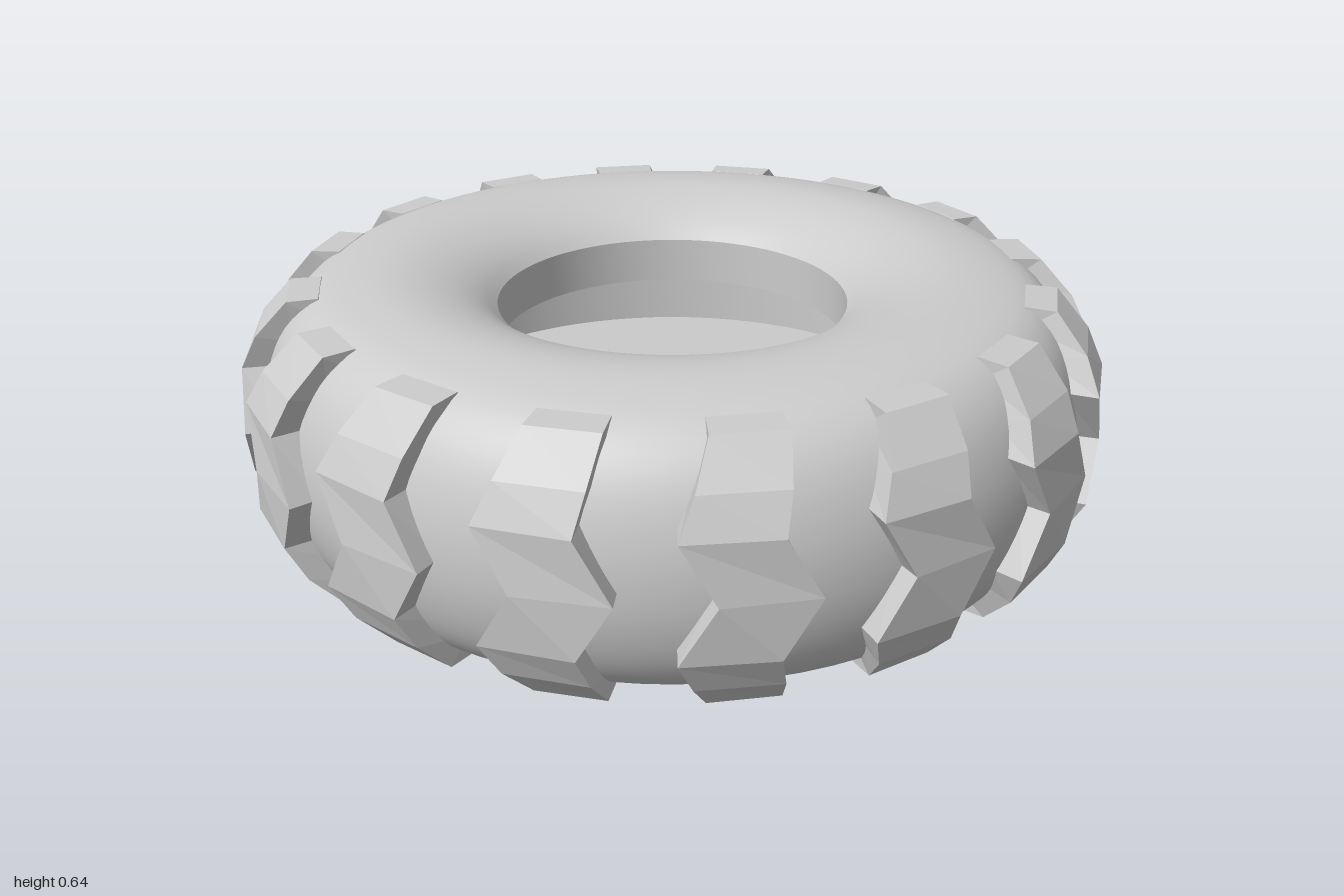
import * as THREE from 'three';
import { toCreasedNormals } from 'three/addons/utils/BufferGeometryUtils.js';

const MID = 0.32;      // half the tyre's width
const LUGS = 16;
const material = new THREE.MeshStandardMaterial({ color: 0xcccccc });

// Revolved body: rounded outside, straight beads and a square inner channel
function carcassGeometry() {
  const half = [[0.95, 0], [0.942, 0.09], [0.915, 0.18], [0.87, 0.25], [0.8, 0.298], [0.68, 0.32],
    [0.59, 0.315], [0.51, 0.292], [0.45, 0.26], [0.41, 0.225]];
  const lower = half.slice(1).reverse().map(([r, h]) => [r, -h]);
  const control = [...lower, ...half].map(([r, h]) => new THREE.Vector2(r, MID + h));
  const profile = new THREE.SplineCurve(control).getPoints(54);
  for (const [r, h] of [[0.41, 0.115], [0.72, 0.115], [0.72, -0.115], [0.41, -0.115], [0.41, -0.225]]) {
    profile.push(new THREE.Vector2(r, MID + h));
  }
  return toCreasedNormals(new THREE.LatheGeometry(profile, 80), 0.6);
}

// Zigzag tread block, lofted through four-cornered sections across the tyre
function lugGeometry() {
  // outer radius, outer height, inner radius, inner height, start angle, end angle
  const upper = [
    [0.81, 0.296, 0.79, 0.27, 0.0, 0.18],
    [0.88, 0.293, 0.82, 0.25, 0.0, 0.175],
    [0.955, 0.21, 0.87, 0.19, -0.033, 0.155],
    [0.993, 0.13, 0.91, 0.13, -0.065, 0.135],
    [1.0, 0, 0.93, 0, 0.01, 0.21],
  ];
  const lower = upper.slice(0, -1).reverse().map(([R, H, r, h, a, b]) => [R, -H, r, -h, a, b]);
  const rows = [...upper, ...lower];

  const positions = [];
  const index = [];
  const quad = (a, b, c, d) => index.push(a, b, c, a, c, d);
  rows.forEach(([R, H, r, h, a, b], j) => {
    for (const [rad, y, t] of [[r, h, a], [R, H, a], [R, H, b], [r, h, b]]) {
      positions.push(rad * Math.sin(t), MID + y, rad * Math.cos(t));
    }
    if (j === 0) return;
    for (let k = 0; k < 4; k++) {
      const n = (k + 1) % 4, p = (j - 1) * 4, q = j * 4;
      quad(p + k, q + k, q + n, p + n);
    }
  });
  const e = (rows.length - 1) * 4;
  quad(0, 1, 2, 3);
  quad(e + 3, e + 2, e + 1, e);

  const g = new THREE.BufferGeometry();
  g.setAttribute('position', new THREE.Float32BufferAttribute(positions, 3));
  g.setIndex(index);
  const flat = g.toNonIndexed();
  flat.computeVertexNormals();
  return flat;
}

export function createModel() {
  const tyre = new THREE.Group();
  tyre.name = 'tyre';

  const carcass = new THREE.Mesh(carcassGeometry(), material);
  carcass.name = 'carcass';
  tyre.add(carcass);

  // Ring of tread blocks
  const tread = new THREE.Group();
  tread.name = 'tread';
  const geometry = lugGeometry();
  for (let i = 0; i < LUGS; i++) {
    const lug = new THREE.Mesh(geometry, material);
    lug.name = 'treadLug';
    lug.rotation.y = (i / LUGS) * Math.PI * 2;
    tread.add(lug);
  }
  tyre.add(tread);
  return tyre;
}
